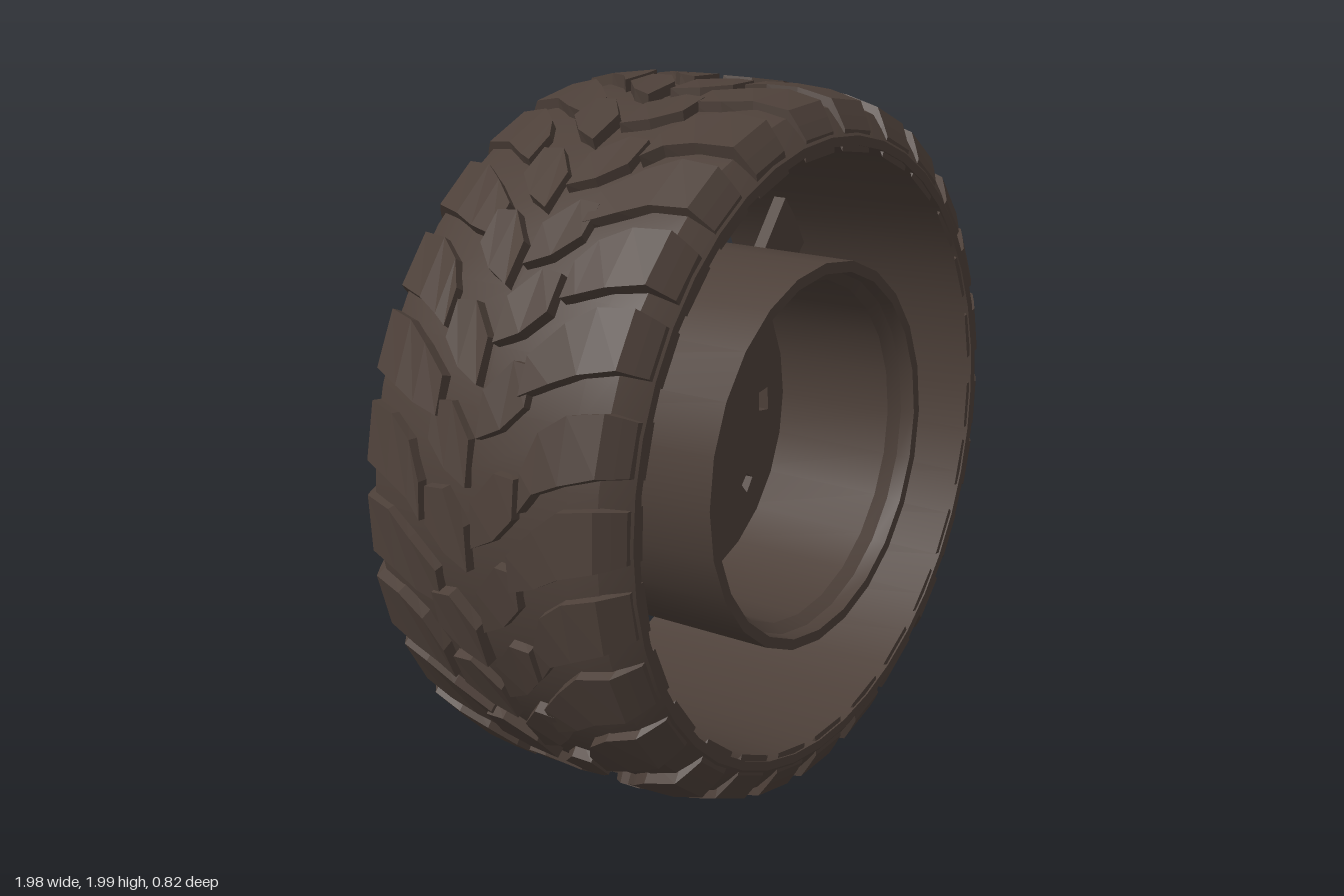
import * as THREE from 'three';
import { mergeGeometries, toCreasedNormals } from 'three/addons/utils/BufferGeometryUtils.js';

const rubber = new THREE.MeshStandardMaterial({ color: 0x4d4039 });
rubber.name = 'darkBrownRubber';

// Small seeded random, returns -1..1
let seed = 7;
const jitter = () => {
  seed = (seed * 16807) % 2147483647;
  return (seed / 2147483647) * 2 - 1;
};

// Tread crown radius across the width
const profile = [[0, 0.992], [0.2, 0.988], [0.3, 0.98], [0.36, 0.96], [0.385, 0.92], [0.41, 0.875]];
function crown(z) {
  const d = Math.abs(z);
  for (let i = 1; i < profile.length; i++) {
    const [z0, r0] = profile[i - 1], [z1, r1] = profile[i];
    if (d <= z1) return r0 + (r1 - r0) * (d - z0) / (z1 - z0);
  }
  return 0.875;
}

// Closed profile of [radius, z] turned round the z axis
function turned(points, sides) {
  const g = new THREE.LatheGeometry(points.map(p => new THREE.Vector2(...p)), sides);
  g.rotateX(Math.PI / 2);
  return toCreasedNormals(g, 0.5);
}

// Raised rubber block: sections of [z, angle, half width in radians]
function lug(sections, height) {
  const rows = [...sections].sort((a, b) => a[0] - b[0]).map(([z, a, h]) => {
    const top = crown(z) + height, base = crown(z) - 0.06;
    return [[base, a - h * 1.12], [top, a - h], [top, a + h], [base, a + h * 1.12]]
      .map(([r, t]) => [r * Math.cos(t), r * Math.sin(t), z]);
  });
  const pos = [];
  const quad = (a, b, c, d) => pos.push(...a, ...b, ...c, ...a, ...c, ...d);
  for (let i = 0; i < rows.length - 1; i++) {
    for (let j = 0; j < 3; j++) quad(rows[i][j], rows[i][j + 1], rows[i + 1][j + 1], rows[i + 1][j]);
  }
  quad(...[...rows[0]].reverse());
  quad(...rows[rows.length - 1]);
  const g = new THREE.BufferGeometry();
  g.setAttribute('position', new THREE.Float32BufferAttribute(pos, 3));
  g.computeVertexNormals();
  return g;
}

function flatPart(points, z0, z1) {
  const shape = new THREE.Shape(points.map(p => new THREE.Vector2(...p)));
  const g = new THREE.ExtrudeGeometry(shape, { depth: z1 - z0, bevelEnabled: false });
  g.translate(0, 0, z0);
  return g;
}

export function createModel() {
  const model = new THREE.Group();
  const wheel = new THREE.Group();
  wheel.name = 'wheel';
  wheel.position.y = 1;
  model.add(wheel);
  const add = (geometry, name) => {
    const m = new THREE.Mesh(geometry, rubber);
    m.name = name;
    wheel.add(m);
    return m;
  };

  // Tyre band, slightly below the tread blocks
  add(turned([
    [0.84, -0.41], [0.865, -0.41], [0.9, -0.385], [0.935, -0.355], [0.957, -0.28], [0.965, 0],
    [0.957, 0.28], [0.935, 0.355], [0.9, 0.385], [0.865, 0.41], [0.84, 0.41], [0.84, -0.41],
  ], 40), 'tyreBand');

  // Tread: swept shoulder lugs on both edges and staggered centre blocks
  const lugs = [], count = 26, step = Math.PI * 2 / count;
  for (let i = 0; i < count; i++) {
    for (const s of [1, -1]) {
      const a = (i + (s > 0 ? 0 : 0.45)) * step + jitter() * 0.015;
      const inner = i % 2 ? 0.12 : 0.16;
      lugs.push(lug([
        [s * 0.405, a - 0.05, 0.075], [s * 0.385, a - 0.05, 0.078], [s * 0.36, a - 0.05, 0.08],
        [s * 0.27, a - 0.03 + jitter() * 0.01, 0.085],
        [s * 0.2, a + 0.02, 0.075], [s * inner, a + 0.08 + jitter() * 0.02, 0.05],
      ], jitter() * 0.005));
      const c = a + 0.14 * step / 0.24 + jitter() * 0.02;
      lugs.push(lug([
        [s * 0.14, c - 0.03, 0.05], [s * 0.08, c, 0.085], [s * 0.01, c + 0.06, 0.06],
      ], jitter() * 0.005));
    }
  }
  add(mergeGeometries(lugs), 'treadBlocks');

  // Rim drum with stepped lips
  add(turned([
    [0.5, -0.4], [0.535, -0.4], [0.535, 0.4], [0.505, 0.4], [0.5, 0.36], [0.475, 0.33],
    [0.47, -0.1], [0.48, -0.33], [0.5, -0.36], [0.5, -0.4],
  ], 24), 'rimDrum');

  // Rim disc with an octagonal hub opening and a ring of slots
  const disc = new THREE.Shape();
  disc.absarc(0, 0, 0.485, 0, Math.PI * 2);
  const hub = [];
  for (let i = 0; i < 8; i++) {
    const a = (i + 0.25) * Math.PI / 4;
    hub.push(new THREE.Vector2(0.145 * Math.cos(a), 0.145 * Math.sin(a)));
  }
  disc.holes.push(new THREE.Path(hub));
  // Slots: [angle in degrees, half length, half depth]
  const slots = [[90, 0.065, 0.025], [42, 0.035, 0.025], [0, 0.035, 0.025], [-40, 0.025, 0.02],
    [180, 0.04, 0.025], [138, 0.035, 0.025], [225, 0.055, 0.025]];
  for (const [deg, l, d] of slots) {
    const t = THREE.MathUtils.degToRad(deg);
    const corners = [[-d, -l * 0.8], [d, -l], [d * 0.8, l], [-d, l * 0.8]];
    disc.holes.push(new THREE.Path(corners.map(([x, y]) =>
      new THREE.Vector2(x + 0.365, y).rotateAround(new THREE.Vector2(), t))));
  }
  const discGeometry = new THREE.ExtrudeGeometry(disc, { depth: 0.1, bevelEnabled: false, curveSegments: 24 });
  discGeometry.translate(0, 0, -0.13);
  add(discGeometry, 'rimDisc');

  // Raised hub collar on the back
  add(turned([[0.145, -0.16], [0.19, -0.16], [0.225, -0.12], [0.145, -0.12], [0.145, -0.16]], 8), 'hubCollar');

  // Two pairs of struts between drum and tyre, repeated half a turn apart
  const wide = [[0.43, 0.31], [0.51, 0.18], [0.76, 0.42], [0.64, 0.57]];
  const narrow = [[-0.72, 0.44], [-0.62, 0.31], [-0.57, 0.23], [-0.52, 0.29], [-0.44, 0.26], [-0.55, 0.36]];
  for (const turn of [0, Math.PI]) {
    add(flatPart(wide, -0.17, -0.13), 'wideStrut').rotation.z = turn;
    add(flatPart(narrow, -0.14, 0.02), 'narrowStrut').rotation.z = turn;
  }
  return model;
}
